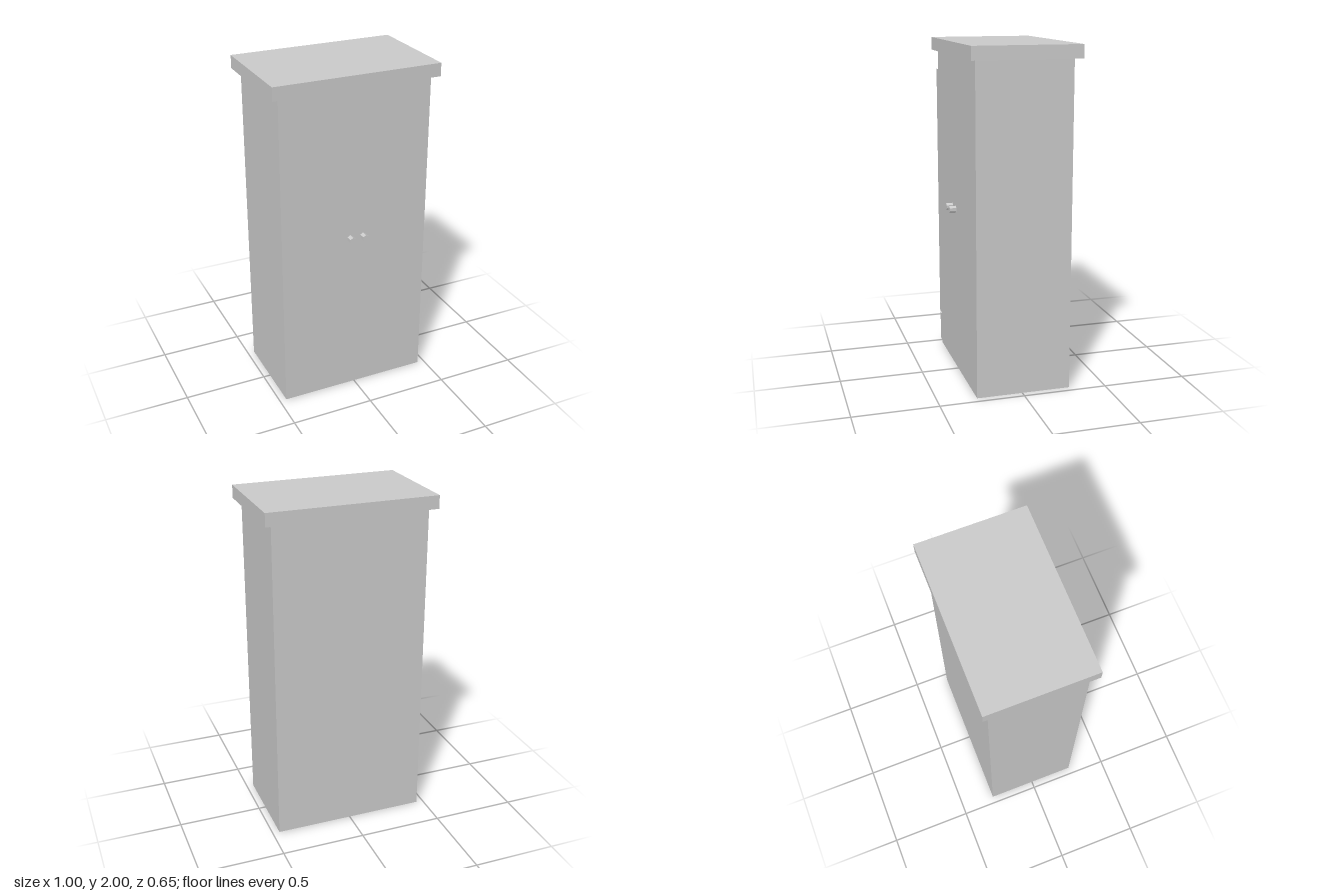
import * as THREE from 'three';

export function createModel() {
  const group = new THREE.Group();
  const grey = new THREE.MeshStandardMaterial({ color: 0xcccccc });
  grey.name = 'light grey';
  const greySheet = new THREE.MeshStandardMaterial({ color: 0xcccccc, side: THREE.DoubleSide });
  greySheet.name = 'light grey sheet';

  const add = (name, geometry, material, x, y, z) => {
    const mesh = new THREE.Mesh(geometry, material);
    mesh.name = name;
    mesh.position.set(x, y, z);
    group.add(mesh);
    return mesh;
  };

  // Cabinet body and overhanging top board
  add('body', new THREE.BoxGeometry(0.916, 1.923, 0.56), grey, 0, 0.9615, -0.008);
  add('topBoard', new THREE.BoxGeometry(1, 0.077, 0.631), grey, 0, 1.9615, -0.0115);

  // Thin fronts standing just proud of the body
  const frontZ = 0.288;
  add('drawerFront', new THREE.PlaneGeometry(0.85, 0.18), greySheet, 0, 0.137, frontZ);

  // Mirrored doors, each with a six-sided knob
  const knob = new THREE.CylinderGeometry(0.02, 0.02, 0.039, 6).toNonIndexed();
  knob.rotateX(Math.PI / 2);
  knob.computeVertexNormals();
  for (const [side, s] of [['left', 1], ['right', -1]]) {
    add(side + 'Door', new THREE.PlaneGeometry(0.423, 1.578), greySheet, s * 0.2245, 1.021, frontZ);
    add(side + 'Knob', knob, grey, s * 0.041, 1.024, frontZ + 0.0195);
  }
  return group;
}
